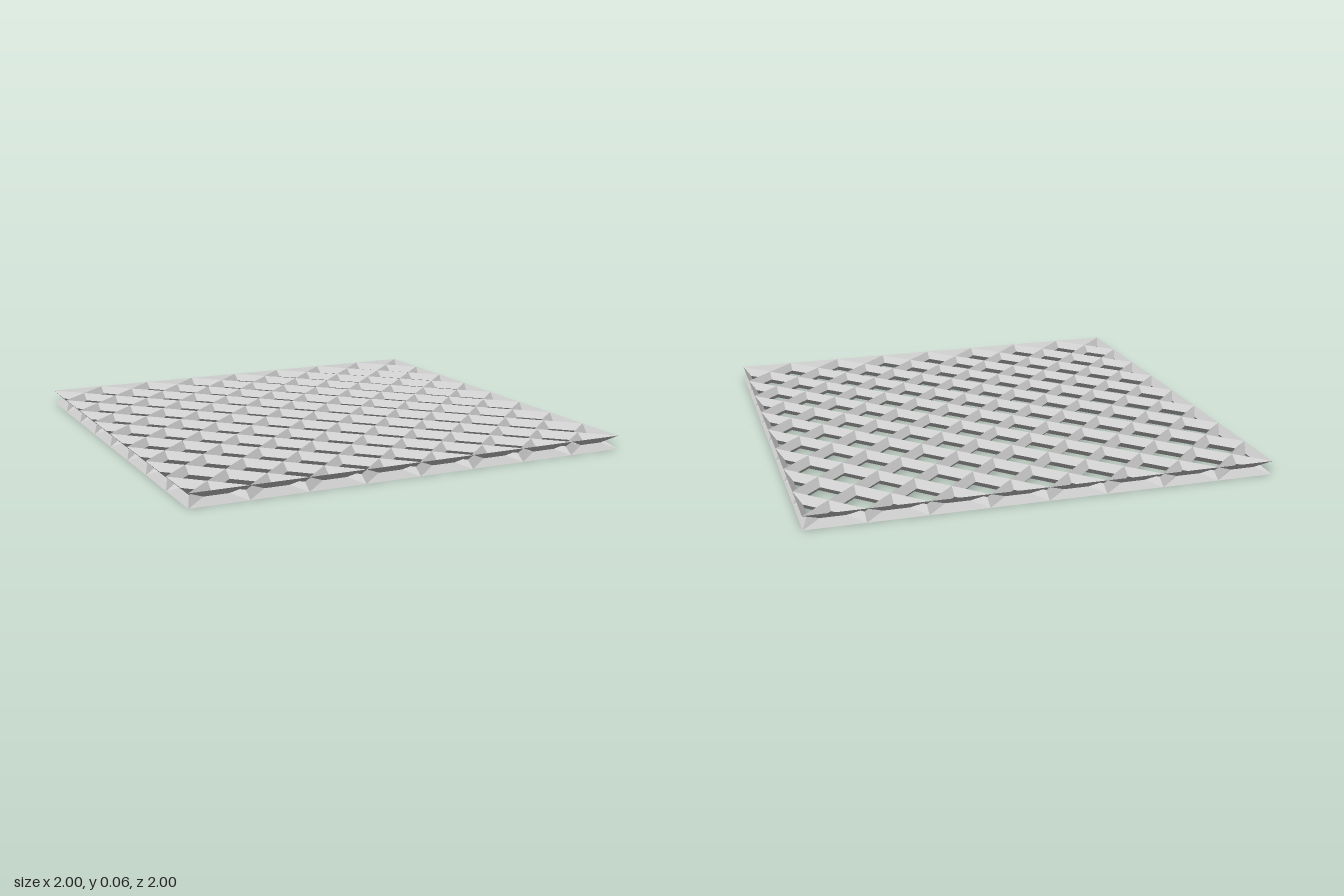
import * as THREE from 'three';

const N = 8;          // half the panel in lattice steps
const STEP = 1 / N;   // half a cell
const R = 0.03;       // half-diagonal of the square bars

// Moves every side of a counter-clockwise polygon inwards by R
function inset(points) {
  const normals = points.map((p, i) => {
    const d = points[(i + 1) % points.length].clone().sub(p).normalize();
    return new THREE.Vector2(-d.y, d.x);
  });
  return points.map((p, i) => {
    const a = normals[(i + points.length - 1) % points.length];
    const b = normals[i];
    return a.clone().add(b).multiplyScalar(R / (1 + a.dot(b))).add(p);
  });
}

// Adds the upper and lower slope between a ridge (p0-p1) and a waist edge (q0-q1)
function addSlopes(out, p0, p1, q1, q0) {
  for (const ridge of [2 * R, 0]) {
    const a = [p0.x, ridge, -p0.y], b = [p1.x, ridge, -p1.y];
    const c = [q1.x, R, -q1.y], d = [q0.x, R, -q0.y];
    const tris = ridge > 0 ? [a, b, c, a, c, d] : [a, c, b, a, d, c];
    out.push(...tris.flat());
  }
}

function makeMesh(name, positions) {
  const geometry = new THREE.BufferGeometry();
  geometry.setAttribute('position', new THREE.Float32BufferAttribute(positions, 3));
  geometry.computeVertexNormals();
  const material = new THREE.MeshStandardMaterial({
    color: 0xcccccc, flatShading: true, side: THREE.DoubleSide,
  });
  const mesh = new THREE.Mesh(geometry, material);
  mesh.name = name;
  return mesh;
}

export function createModel() {
  const bars = [], frame = [];
  const onBorder = (a, b) =>
    (a.x === b.x && Math.abs(a.x) === 1) || (a.y === b.y && Math.abs(a.y) === 1);

  // One opening per odd lattice point: diamonds inside, triangles along the border
  for (let i = -N; i <= N; i++) {
    for (let j = -N; j <= N; j++) {
      if ((i + j) % 2 === 0) continue;
      const ridge = [[i + 1, j], [i, j + 1], [i - 1, j], [i, j - 1]]
        .filter(([x, y]) => Math.abs(x) <= N && Math.abs(y) <= N)
        .map(([x, y]) => new THREE.Vector2(x * STEP, y * STEP));
      const waist = inset(ridge);
      ridge.forEach((p, k) => {
        const n = (k + 1) % ridge.length;
        addSlopes(onBorder(p, ridge[n]) ? frame : bars, p, ridge[n], waist[n], waist[k]);
      });
    }
  }

  const group = new THREE.Group();
  group.name = 'latticePanel';
  group.add(makeMesh('diagonalBars', bars), makeMesh('borderFrame', frame));
  return group;
}
